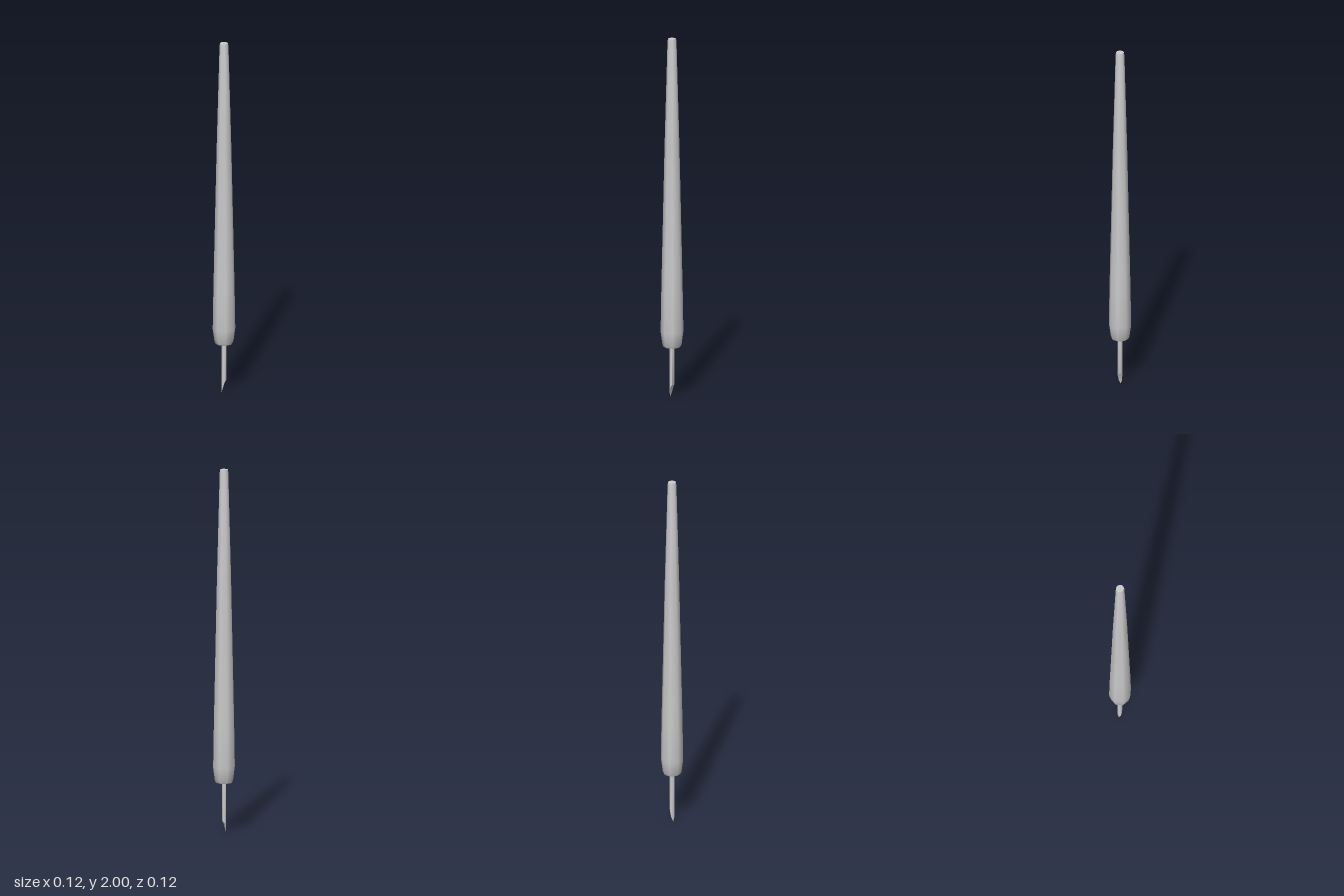
import * as THREE from 'three';
import { toCreasedNormals } from 'three/addons/utils/BufferGeometryUtils.js';

const SIDES = 8;
const material = new THREE.MeshStandardMaterial({ color: 0xcccccc });

// Long tapered grip, rounded at its lower end
function createHandle() {
  const profile = [
    [0, 0.28], [0.046, 0.28], [0.052, 0.292], [0.062, 0.365], [0.058, 0.6],
    [0.0405, 1.4], [0.0245, 1.985], [0.022, 2], [0, 2],
  ].map(([r, y]) => new THREE.Vector2(r, y));
  const geometry = toCreasedNormals(new THREE.LatheGeometry(profile, SIDES), 0.9);
  const mesh = new THREE.Mesh(geometry, material);
  mesh.name = 'handle';
  return mesh;
}

// Thin rod whose lower end is cut into a scooped, slanted point at -x
function createBlade() {
  const radius = 0.0128, top = 0.29;
  const geometry = new THREE.CylinderGeometry(radius, radius, top, SIDES);
  geometry.translate(0, top / 2, 0);
  const p = geometry.attributes.position;
  for (let i = 0; i < p.count; i++) {
    if (p.getY(i) > top / 2) continue;
    const t = Math.max(0, 0.5 + p.getX(i) / (2 * radius));
    p.setY(i, 0.07 * (1 - (1 - t) ** 2.3));
  }
  const mesh = new THREE.Mesh(toCreasedNormals(geometry, 0.9), material);
  mesh.name = 'blade';
  return mesh;
}

export function createModel() {
  const group = new THREE.Group();
  group.name = 'carvingTool';
  group.add(createHandle(), createBlade());
  return group;
}
